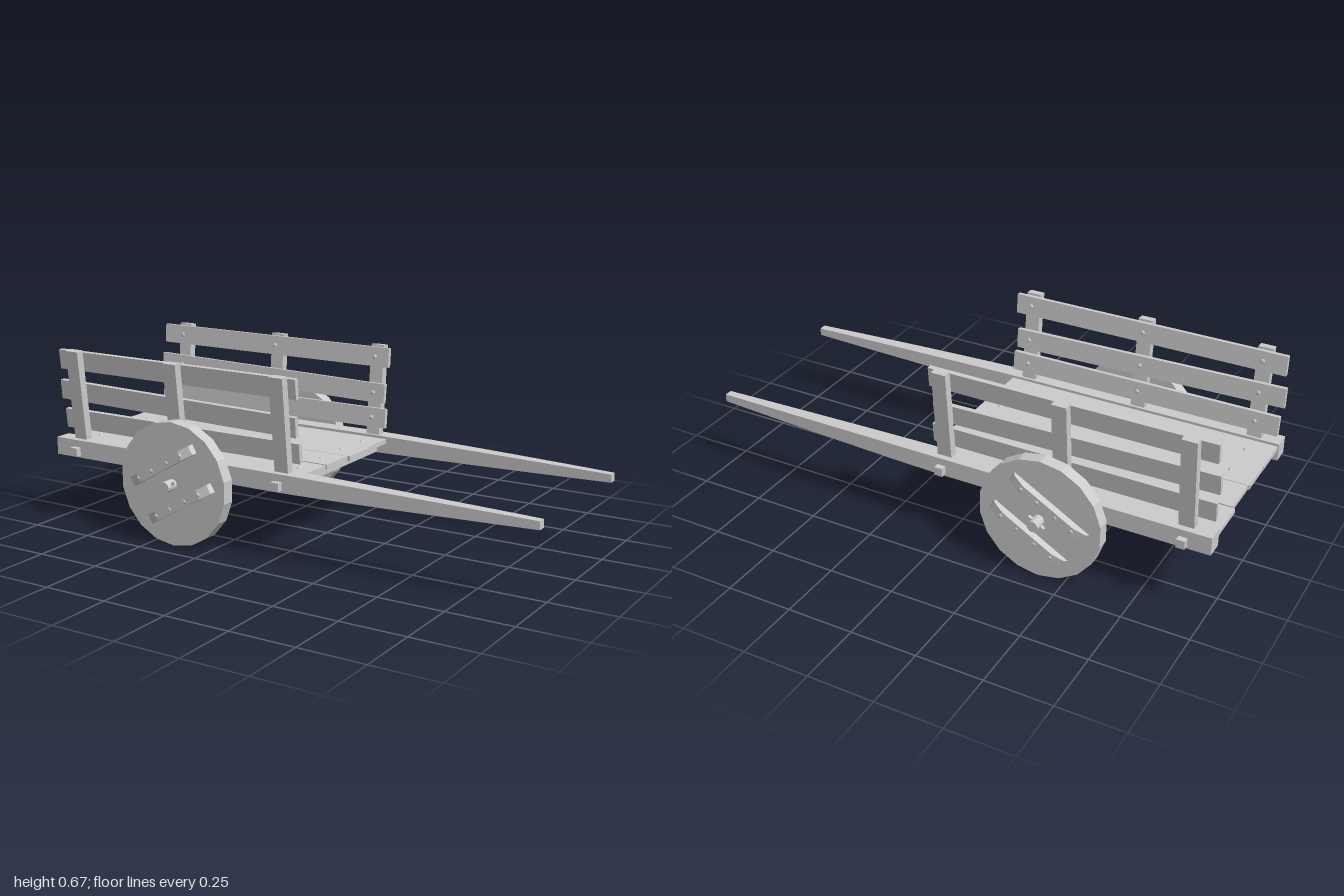
import * as THREE from 'three';

const wood = new THREE.MeshStandardMaterial({ color: 0xcccccc });
wood.name = 'plainWood';
wood.flatShading = true;

const POSTS = [-0.9, -0.44, 0.02];
const WHEEL_X = -0.4, WHEEL_Y = 0.236;

function add(parent, name, geometry, x = 0, y = 0, z = 0) {
  const mesh = new THREE.Mesh(geometry, wood);
  mesh.name = name;
  mesh.position.set(x, y, z);
  parent.add(mesh);
  return mesh;
}
const box = (w, h, d) => new THREE.BoxGeometry(w, h, d);

// Flattened nail head, facing along z
const nailGeometry = new THREE.SphereGeometry(0.009, 6, 4).scale(1, 1, 0.7);

// Long side beam that tapers into a pulling handle
function shaftGeometry(s) {
  const g = box(2, 1, 1);
  const long = new THREE.BoxGeometry(2, 1, 1, 20, 1, 1);
  g.dispose();
  const p = long.attributes.position;
  for (let i = 0; i < p.count; i++) {
    const x = p.getX(i);
    const t = Math.pow(Math.max(0, x), 1.3);
    const height = 0.068 - 0.038 * t;
    const width = 0.066 - 0.035 * t;
    p.setY(i, 0.289 + p.getY(i) * height);
    p.setZ(i, s * (0.332 - 0.013 * t) + p.getZ(i) * width);
  }
  long.computeVertexNormals();
  return long;
}

// Wheel batten: long bar with sloping ends
function battenGeometry() {
  const shape = new THREE.Shape([
    new THREE.Vector2(-0.165, 0), new THREE.Vector2(0.165, 0),
    new THREE.Vector2(0.155, 0.014), new THREE.Vector2(0.11, 0.028),
    new THREE.Vector2(-0.11, 0.028), new THREE.Vector2(-0.155, 0.014),
  ]);
  return new THREE.ExtrudeGeometry(shape, { depth: 0.036, bevelEnabled: false })
    .translate(0, 0, -0.018).rotateX(Math.PI / 2);
}

// Solid wheel with two battens and an axle pin on its outer face
function createWheel(s) {
  const wheel = new THREE.Group();
  wheel.name = s > 0 ? 'frontSideWheel' : 'backSideWheel';
  wheel.position.set(WHEEL_X, WHEEL_Y, s * 0.4);
  wheel.rotation.y = s > 0 ? 0 : Math.PI;
  add(wheel, 'wheelDisc', new THREE.CylinderGeometry(0.234, 0.234, 0.05, 18).rotateX(Math.PI / 2));

  const face = new THREE.Group();
  face.name = 'wheelBattens';
  face.rotation.z = s * Math.PI / 6;
  face.position.z = 0.025;
  wheel.add(face);
  for (const side of [-1, 1]) {
    add(face, 'batten', battenGeometry(), 0, side * 0.077, 0);
    for (const x of [-0.11, -0.04, 0.04, 0.11]) {
      add(face, 'battenNail', nailGeometry, x, side * 0.077, 0.026);
    }
  }
  add(face, 'axlePin', box(0.07, 0.012, 0.012), 0, 0, 0.022);
  return wheel;
}

// Outward-leaning side: three posts with three rails nailed inside
function createSide(s) {
  const side = new THREE.Group();
  side.name = s > 0 ? 'frontFence' : 'backFence';
  side.position.set(0, 0.32, s * 0.325);
  side.rotation.x = s * 0.098;
  for (const x of POSTS) add(side, 'post', box(0.056, 0.384, 0.032), x, 0.16, 0);

  const rails = [
    { y: 0.07, x: -0.455, length: 1.07, tilt: 0 },
    { y: 0.175, x: -0.465, length: 1.07, tilt: -0.018 },
    { y: 0.306, x: -0.455, length: 1.07, tilt: 0 },
  ];
  for (const r of rails) {
    const rail = add(side, 'rail', box(r.length, 0.075, 0.018), r.x, r.y, -s * 0.025);
    rail.rotation.z = r.tilt;
    for (const x of POSTS) add(side, 'railNail', nailGeometry, x, r.y + r.tilt * (x - r.x), -s * 0.034);
  }
  return side;
}

export function createModel() {
  const cart = new THREE.Group();
  cart.name = 'handCart';

  // Both sides
  for (const s of [1, -1]) {
    add(cart, 'shaft', shaftGeometry(s));
    cart.add(createSide(s), createWheel(s));
  }

  // Axle
  add(cart, 'axle', new THREE.CylinderGeometry(0.021, 0.021, 0.95, 12).rotateX(Math.PI / 2),
    WHEEL_X, WHEEL_Y, 0);

  // Cross beams with tenons passing through the shafts
  for (const x of [POSTS[0], POSTS[2]]) {
    add(cart, 'crossBeam', box(0.05, 0.038, 0.61), x, 0.277, 0);
    add(cart, 'tenon', box(0.032, 0.032, 0.776), x, 0.28, 0);
  }

  // Floor planks: slightly uneven lengths
  const planks = [
    { z: -0.226, w: 0.152, x0: -1, x1: 0.085, y: 0.304 },
    { z: -0.073, w: 0.147, x0: -0.99, x1: 0.1, y: 0.306 },
    { z: 0.074, w: 0.142, x0: -0.995, x1: 0.09, y: 0.306 },
    { z: 0.225, w: 0.154, x0: -0.995, x1: 0.085, y: 0.304 },
  ];
  for (const k of planks) {
    add(cart, 'floorPlank', box(k.x1 - k.x0, 0.018, k.w), (k.x0 + k.x1) / 2, k.y, k.z);
    for (const x of [POSTS[0], POSTS[2]]) {
      add(cart, 'floorNail', nailGeometry, x, k.y + 0.009, k.z).rotation.x = Math.PI / 2;
    }
  }
  return cart;
}
